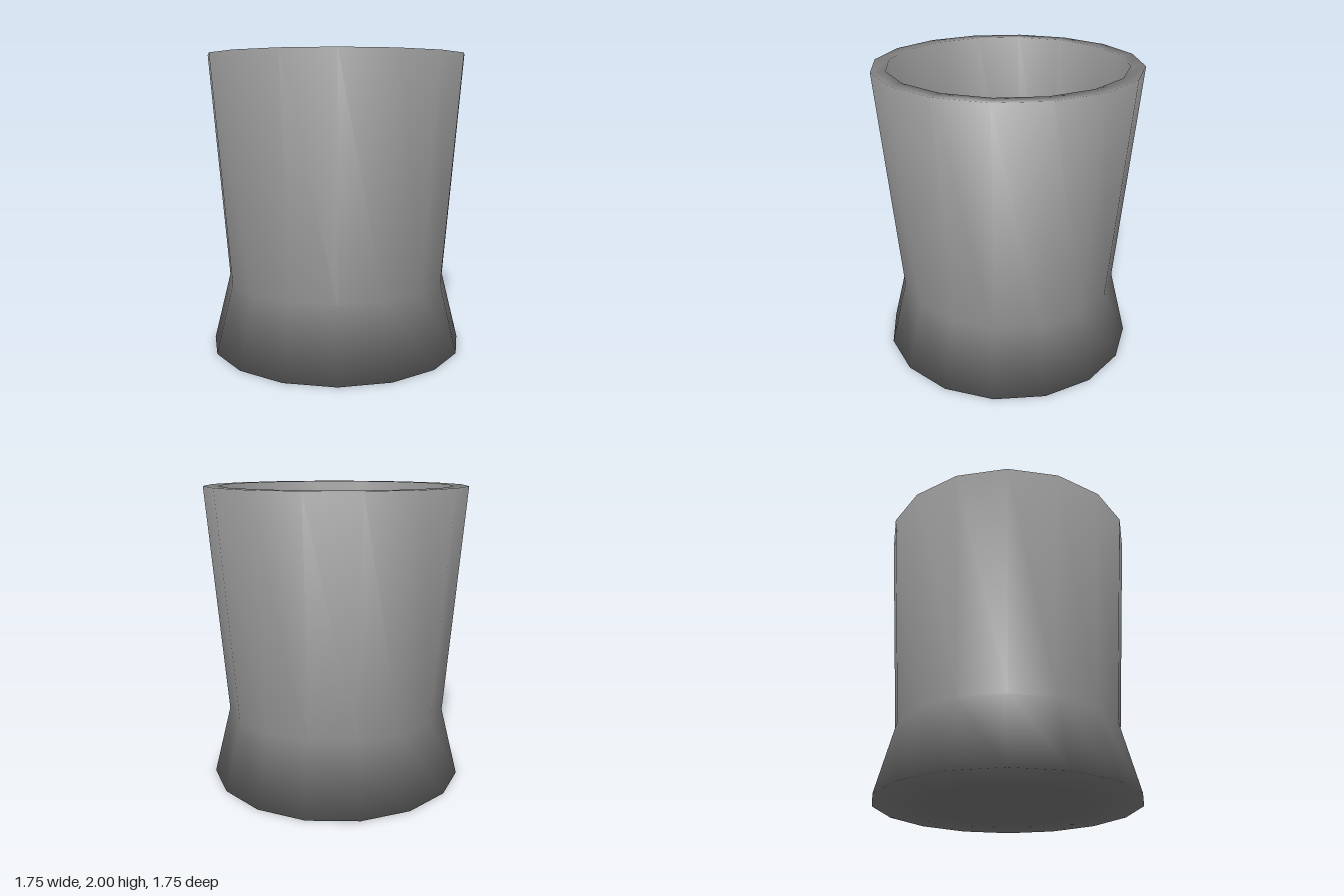
import * as THREE from 'three';

const SIDES = 16;

// Lathe whose normals average the neighbouring profile segments equally
function smoothLathe(profile) {
  const points = profile.map(([r, y]) => new THREE.Vector2(r, y));
  const segmentNormals = points.slice(1).map((p, i) => {
    const d = p.clone().sub(points[i]).normalize();
    return new THREE.Vector2(d.y, -d.x);
  });
  const last = segmentNormals.length - 1;
  const normals = points.map((p, i) => {
    // Poles on the axis point straight up or down
    if (p.x === 0) return new THREE.Vector2(0, Math.sign(segmentNormals[Math.min(i, last)].y));
    return segmentNormals[i - 1].clone().add(segmentNormals[i]).normalize();
  });

  const geometry = new THREE.LatheGeometry(points, SIDES);
  const attribute = geometry.attributes.normal;
  for (let i = 0; i <= SIDES; i++) {
    const angle = (i / SIDES) * Math.PI * 2;
    normals.forEach((n, j) => {
      attribute.setXYZ(i * points.length + j, n.x * Math.sin(angle), n.y, n.x * Math.cos(angle));
    });
  }
  return geometry;
}

export function createModel() {
  const group = new THREE.Group();
  group.name = 'cup';
  const material = new THREE.MeshStandardMaterial({ color: 0x8a8a8a });

  // Closed wall of even thickness: base, flared foot, waist, rim, then the same inside
  const body = new THREE.Mesh(smoothLathe([
    [0, 0],
    [0.5, 0],
    [0.875, 0],
    [0.757, 0.47],
    [0.875, 2],
    [0.78, 2],
    [0.67, 0.47],
    [0.8, 0.06],
    [0.5, 0.09],
    [0, 0.09],
  ]), material);
  body.name = 'cupBody';
  group.add(body);
  return group;
}
